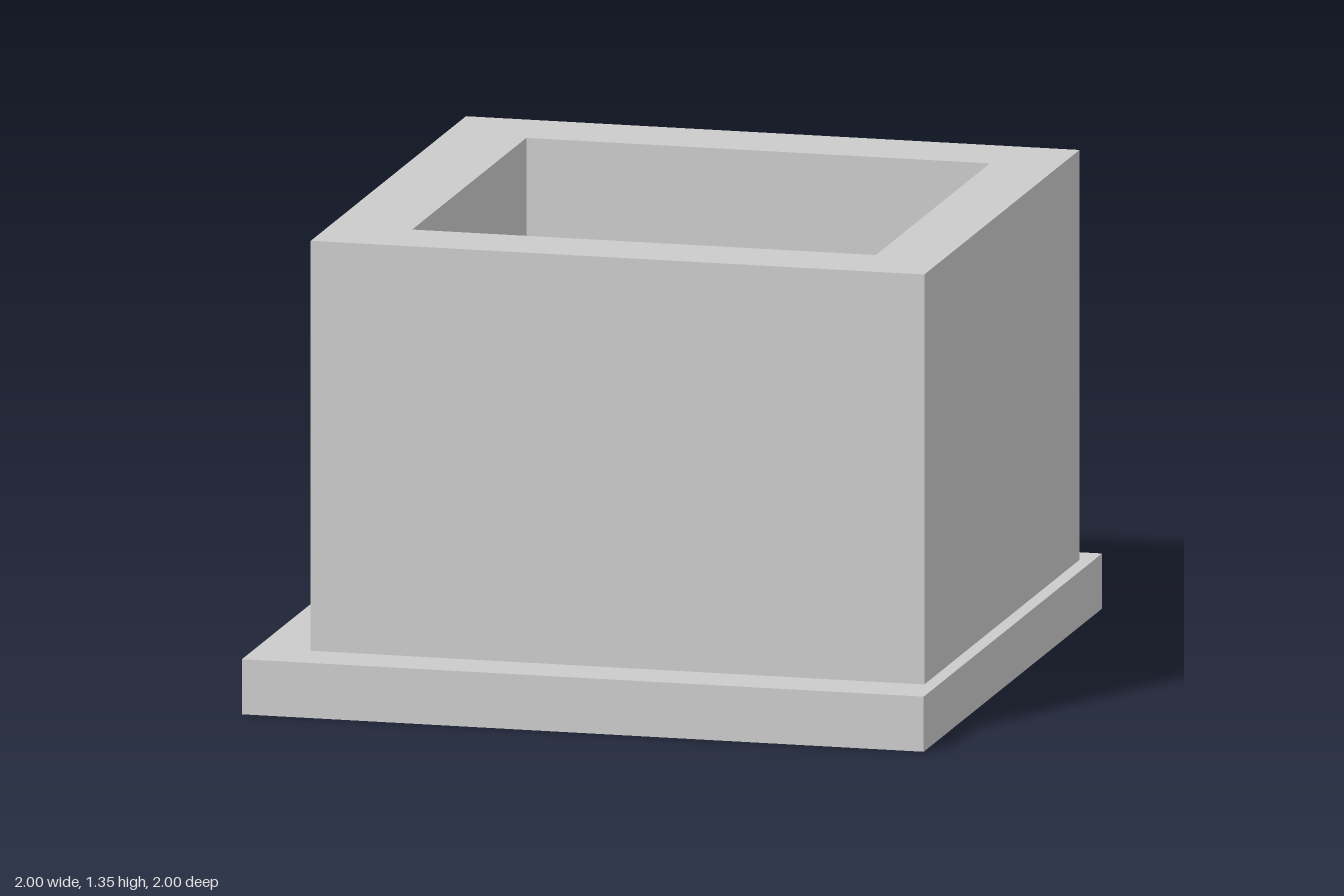
import * as THREE from 'three';

// Rectangle outline in plan; plan y is -z
function rect(path, x0, x1, z0, z1) {
  path.moveTo(x0, -z1);
  path.lineTo(x1, -z1);
  path.lineTo(x1, -z0);
  path.lineTo(x0, -z0);
  path.closePath();
  return path;
}

export function createModel() {
  const group = new THREE.Group();
  group.name = 'openBoxOnPlinth';
  const material = new THREE.MeshStandardMaterial({ color: 0xcccccc, flatShading: true });
  const baseHeight = 0.16, topHeight = 1.35;

  // Square base slab
  const base = new THREE.Mesh(new THREE.BoxGeometry(2, baseHeight, 2), material);
  base.name = 'baseSlab';
  base.position.y = baseHeight / 2;
  group.add(base);

  // Thick walls around an off-centre opening, with the slab as the floor
  const outline = rect(new THREE.Shape(), -0.84, 0.96, -0.9, 0.84);
  outline.holes.push(rect(new THREE.Path(), -0.6, 0.76, -0.66, 0.62));
  const wallGeometry = new THREE.ExtrudeGeometry(outline, {
    depth: topHeight - baseHeight,
    bevelEnabled: false,
  });
  wallGeometry.rotateX(-Math.PI / 2);
  const walls = new THREE.Mesh(wallGeometry, material);
  walls.name = 'walls';
  walls.position.y = baseHeight;
  group.add(walls);

  return group;
}
